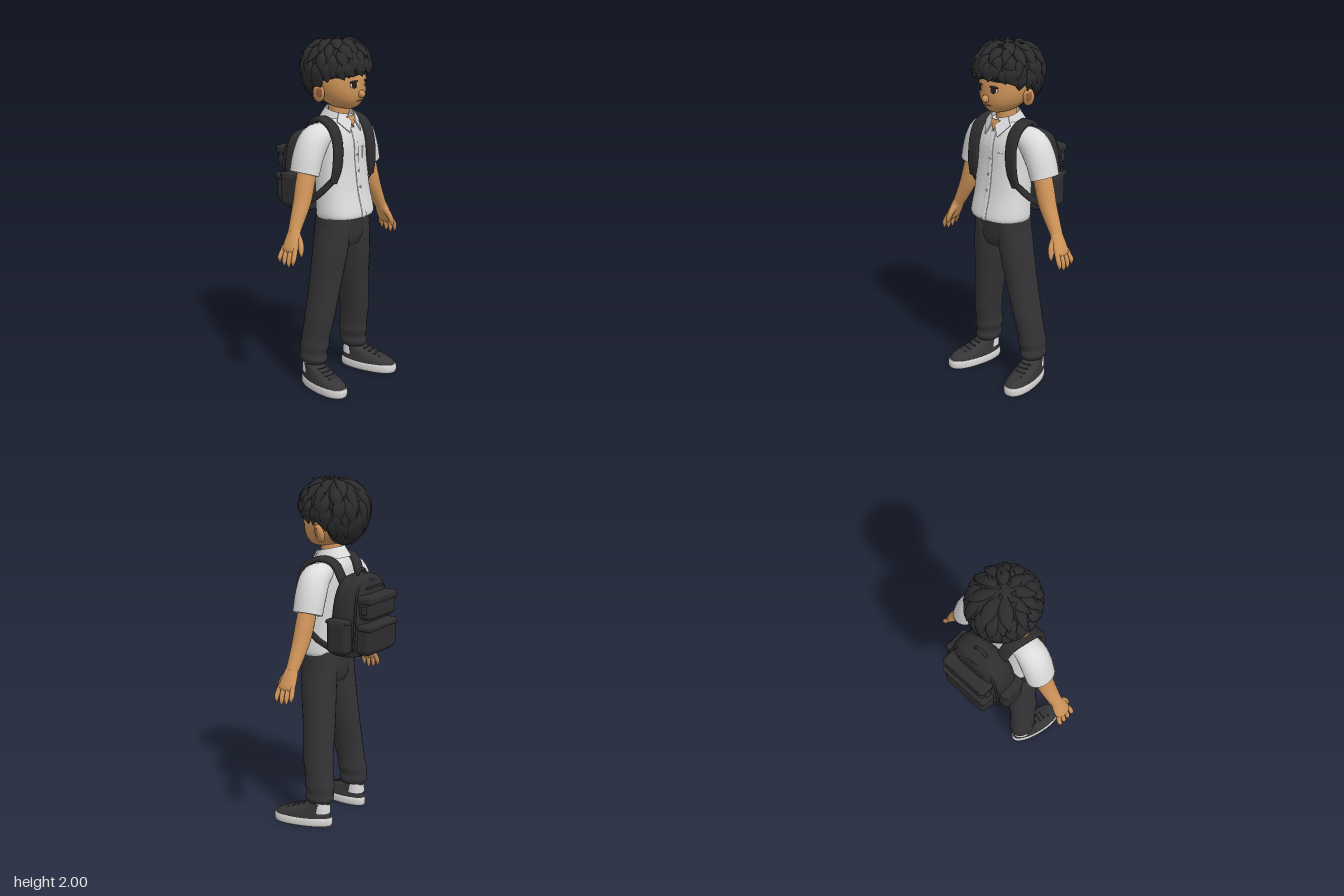
import * as THREE from 'three';
import { mergeGeometries } from 'three/addons/utils/BufferGeometryUtils.js';
import { RoundedBoxGeometry } from 'three/addons/geometries/RoundedBoxGeometry.js';

const mat = (name, color) => {
  const m = new THREE.MeshStandardMaterial({ color, side: THREE.DoubleSide });
  m.name = name;
  return m;
};
const V = (x, y, z) => new THREE.Vector3(x, y, z);

// Smooth skin through stations [x, y, z, radiusAcross, radiusDeep]; flat keeps rings level
function loft(st, { n = 20, steps = 4, pow = 2, flat = false, ref = V(1, 0, 0), egg = 0 } = {}) {
  const path = new THREE.CatmullRomCurve3(st.map(s => V(s[0], s[1], s[2])), false, 'catmullrom');
  const radii = new THREE.CatmullRomCurve3(st.map(s => V(s[3], s[4], 0)), false, 'catmullrom');
  const rows = (st.length - 1) * steps, pos = [], idx = [];
  for (let i = 0; i <= rows; i++) {
    const c = path.getPoint(i / rows), r = radii.getPoint(i / rows);
    const t = flat ? V(0, 1, 0) : path.getTangent(i / rows);
    const u = ref.clone().addScaledVector(t, -ref.dot(t)).normalize();
    const v = u.clone().cross(t);
    for (let k = 0; k < n; k++) {
      const a = k / n * Math.PI * 2, ca = Math.cos(a), sa = Math.sin(a);
      const p = c.clone()
        .addScaledVector(u, Math.sign(ca) * Math.abs(ca) ** (2 / pow) * Math.max(r.x, 0.0005) * (1 + egg * sa))
        .addScaledVector(v, Math.sign(sa) * Math.abs(sa) ** (2 / pow) * Math.max(r.y, 0.0005));
      pos.push(p.x, p.y, p.z);
      if (i < rows) {
        const p0 = i * n + k, p1 = i * n + (k + 1) % n;
        idx.push(p0, p0 + n, p1, p1, p0 + n, p1 + n);
      }
    }
  }
  // End caps with their own corners, so the rims stay sharp
  for (const [row, end] of [[0, 0], [rows, 1]]) {
    const base = pos.length / 3;
    pos.push(...pos.slice(row * n * 3, (row + 1) * n * 3));
    const c = path.getPoint(end);
    pos.push(c.x, c.y, c.z);
    for (let k = 0; k < n; k++) {
      const a = base + k, b = base + (k + 1) % n;
      idx.push(base + n, end ? b : a, end ? a : b);
    }
  }
  const g = new THREE.BufferGeometry();
  g.setAttribute('position', new THREE.Float32BufferAttribute(pos, 3));
  g.setIndex(idx);
  g.computeVertexNormals();
  return g;
}

export function createModel() {
  const root = new THREE.Group();
  root.name = 'studentWithBackpack';
  const skin = mat('skin', 0xd0955a), hair = mat('hair', 0x2b2b2d), cloth = mat('shirtCloth', 0xdcdcdd);
  const trouser = mat('trouserCloth', 0x343436), bag = mat('bagCloth', 0x2e2e30), shoe = mat('shoeCanvas', 0x363638);
  const rubber = mat('rubber', 0xd6d5d2), dark = mat('eyeDark', 0x2a1c16), lip = mat('lip', 0xa5683f);

  const add = (name, geo, m, p = [0, 0, 0], r = [0, 0, 0], parent = root) => {
    const mesh = new THREE.Mesh(geo, m);
    mesh.name = name;
    mesh.position.set(...p);
    mesh.rotation.set(...r);
    parent.add(mesh);
    return mesh;
  };
  const blob = (rx, ry, rz) => new THREE.SphereGeometry(1, 24, 16).scale(rx, ry, rz);
  const box = (w, h, d, r) => new RoundedBoxGeometry(w, h, d, 4, r);
  const flip = (st, s) => st.map(([x, ...rest]) => [x * s, ...rest]);
  const plate = (pts) => new THREE.ExtrudeGeometry(
    new THREE.Shape(pts.map(p => new THREE.Vector2(...p))), { depth: 0.008, bevelEnabled: false });

  // Head and neck
  add('head', loft([[0, 1.605, 0.105, 0.03, 0.045], [0, 1.62, 0.092, 0.07, 0.085], [0, 1.66, 0.075, 0.115, 0.126],
    [0, 1.72, 0.065, 0.14, 0.145], [0, 1.8, 0.05, 0.145, 0.155], [0, 1.88, 0.04, 0.13, 0.14],
    [0, 1.94, 0.04, 0.07, 0.08]], { n: 36, flat: true }), skin);
  add('neck', loft([[0, 1.5, 0.05, 0.06, 0.06], [0, 1.65, 0.055, 0.055, 0.06]], { flat: true }), skin);
  add('nose', blob(0.019, 0.022, 0.024), skin, [0, 1.69, 0.211]);
  add('mouth', blob(0.028, 0.004, 0.005), lip, [0, 1.653, 0.199]);

  // Shirt body
  const shirt = [[0, 1.0, 0.1, 0.176, 0.134], [0, 1.03, 0.1, 0.184, 0.135], [0, 1.15, 0.083, 0.177, 0.122],
    [0, 1.3, 0.068, 0.175, 0.116], [0, 1.42, 0.06, 0.175, 0.115], [0, 1.5, 0.05, 0.155, 0.1], [0, 1.56, 0.055, 0.075, 0.075]];
  add('shirtBody', loft(shirt, { n: 36, flat: true, pow: 2.3 }), cloth);
  add('placket', loft(shirt.slice(0, 6).map(s => [0, s[1], s[2] + s[4], 0.018, 0.005]), { n: 8, flat: true, pow: 4 }), cloth);
  for (let i = 0; i < 5; i++) {
    const y = 1.08 + i * 0.09, z = 0.223 - Math.min(i, 3) * 0.0125 - (i === 4 ? 0.05 : 0);
    add('button', blob(0.006, 0.006, 0.005), cloth, [0, y, z]);
  }
  add('chestPocket', box(0.08, 0.09, 0.008, 0.003), cloth, [0.092, 1.345, 0.162], [0, 0.38, 0]);
  const band = add('collarBand', new THREE.CylinderGeometry(0.076, 0.1, 0.065, 28, 1, true, 0.3, Math.PI * 2 - 0.6),
    cloth, [0, 1.562, 0.052], [0.22, 0, 0]);
  band.scale.z = 1.08;
  add('openNeck', plate([[-0.035, 0.065], [0, 0], [0.035, 0.065]]), skin, [0, 1.5, 0.154], [-0.35, 0, 0]);

  // Hips
  add('hips', loft([[0, 0.83, 0.077, 0.1, 0.09], [0, 0.88, 0.078, 0.165, 0.105], [0, 0.96, 0.08, 0.174, 0.11],
    [0, 1.03, 0.085, 0.17, 0.11]], { n: 32, flat: true, pow: 2.3 }), trouser);

  for (const s of [1, -1]) {
    const side = s > 0 ? 'left' : 'right';
    // Facial features
    add(side + 'Eye', blob(0.023, 0.018, 0.005), rubber, [s * 0.052, 1.742, 0.199], [0, s * 0.39, 0]);
    add(side + 'Iris', blob(0.017, 0.018, 0.005), dark, [s * 0.051, 1.743, 0.202], [0, s * 0.39, 0]);
    add(side + 'Lash', blob(0.027, 0.006, 0.007), hair, [s * 0.053, 1.76, 0.2], [0, s * 0.39, s * -0.12]);
    add(side + 'Brow', blob(0.03, 0.006, 0.006), hair, [s * 0.055, 1.795, 0.197], [0, s * 0.39, s * -0.1]);
    add(side + 'Ear', blob(0.02, 0.052, 0.034), skin, [s * 0.152, 1.695, 0.035], [0.15, s * -0.35, s * -0.2]);
    add(side + 'InnerEar', blob(0.005, 0.03, 0.017), lip, [s * 0.167, 1.699, 0.046], [0.15, s * -0.35, s * -0.2]);

    // Collar flap and sleeve
    add(side + 'CollarFlap', plate([[s * 0.012, 0.015], [s * 0.05, -0.045], [s * 0.1, 0.035], [s * 0.07, 0.08]]),
      cloth, [0, 1.525, 0.165], [-0.5, s * 0.42, 0]);
    add(side + 'Sleeve', loft(flip([[0.1, 1.475, 0.045, 0.055, 0.075], [0.19, 1.445, 0.04, 0.082, 0.085],
      [0.242, 1.365, 0.035, 0.08, 0.09], [0.276, 1.265, 0.034, 0.072, 0.088]], s), { n: 24 }), cloth);

    // Arm and hand
    add(side + 'Arm', loft(flip([[0.24, 1.36, 0.04, 0.05, 0.05], [0.282, 1.22, 0.045, 0.054, 0.053],
      [0.315, 1.12, 0.05, 0.049, 0.05], [0.36, 1.03, 0.055, 0.039, 0.042], [0.395, 0.965, 0.06, 0.031, 0.036]], s)), skin);
    add(side + 'Palm', loft(flip([[0.385, 0.985, 0.06, 0.03, 0.034], [0.412, 0.93, 0.064, 0.028, 0.047],
      [0.437, 0.88, 0.066, 0.024, 0.051], [0.445, 0.86, 0.066, 0.014, 0.042]], s)), skin);
    for (let f = 0; f < 4; f++) {
      const z = 0.027 + f * 0.026, drop = [0.02, 0.005, 0, 0.012][f], tz = z + (f - 1.5) * 0.006;
      add(side + 'Finger', loft(flip([[0.435, 0.89, z, 0.014, 0.014], [0.458, 0.845, tz, 0.014, 0.014],
        [0.466, 0.81 + drop, tz, 0.012, 0.012], [0.466, 0.788 + drop, tz, 0.004, 0.004]], s), { n: 10 }), skin);
    }
    add(side + 'Thumb', loft(flip([[0.395, 0.95, 0.085, 0.018, 0.02], [0.405, 0.91, 0.115, 0.017, 0.018],
      [0.415, 0.87, 0.128, 0.014, 0.014], [0.418, 0.845, 0.131, 0.005, 0.005]], s), { n: 10 }), skin);

    // Trouser leg with bunched cuff
    add(side + 'TrouserLeg', loft(flip([[0.185, 0.14, 0.02, 0.058, 0.074], [0.186, 0.165, 0.02, 0.07, 0.088],
      [0.184, 0.2, 0.018, 0.066, 0.084], [0.18, 0.24, 0.022, 0.073, 0.091], [0.176, 0.29, 0.027, 0.069, 0.088],
      [0.163, 0.4, 0.043, 0.071, 0.094], [0.13, 0.6, 0.058, 0.08, 0.1], [0.104, 0.8, 0.075, 0.088, 0.108],
      [0.092, 0.92, 0.079, 0.084, 0.11], [0.09, 1.02, 0.082, 0.08, 0.1]], s), { n: 24, flat: true }), trouser);

    // Sock and shoe, toes turned out
    const foot = new THREE.Group();
    foot.name = side + 'Foot';
    foot.position.set(s * 0.19, 0, 0);
    foot.rotation.y = s * 0.19;
    root.add(foot);
    const o = { n: 32, flat: true, egg: 0.14, pow: 2.2 };
    add(side + 'Sock', loft([[0, 0.08, 0.01, 0.052, 0.06], [0, 0.17, 0.01, 0.05, 0.056]], { flat: true }), cloth, [0, 0, 0], [0, 0, 0], foot);
    add(side + 'Sole', loft([[0, 0, 0.118, 0.068, 0.174], [0, 0.012, 0.118, 0.073, 0.18], [0, 0.035, 0.118, 0.073, 0.18],
      [0, 0.05, 0.118, 0.069, 0.174]], o), rubber, [0, 0, 0], [0, 0, 0], foot);
    add(side + 'ShoeUpper', loft([[0, 0.04, 0.118, 0.07, 0.174], [0, 0.065, 0.112, 0.068, 0.163], [0, 0.085, 0.09, 0.063, 0.138],
      [0, 0.105, 0.058, 0.058, 0.104], [0, 0.13, 0.022, 0.053, 0.07], [0, 0.14, 0.014, 0.051, 0.062]], o), shoe, [0, 0, 0], [0, 0, 0], foot);
    for (let i = 0; i < 4; i++)
      add(side + 'Lace', box(0.06, 0.008, 0.012, 0.003), bag, [0, 0.125 - i * 0.012, 0.105 + i * 0.032], [0.42, 0, 0], foot);

    // Backpack strap, lower webbing and side pocket
    add(side + 'Strap', loft(flip([[0.09, 1.42, -0.085, 0.036, 0.014], [0.108, 1.525, -0.035, 0.037, 0.015],
      [0.13, 1.55, 0.045, 0.038, 0.016], [0.14, 1.51, 0.125, 0.038, 0.015], [0.143, 1.42, 0.162, 0.036, 0.015],
      [0.152, 1.3, 0.166, 0.034, 0.015], [0.167, 1.21, 0.15, 0.026, 0.012]], s), { n: 14, pow: 3.5, steps: 5 }), bag);
    add(side + 'Webbing', loft(flip([[0.165, 1.23, 0.153, 0.014, 0.016], [0.188, 1.17, 0.1, 0.01, 0.018],
      [0.195, 1.11, 0.03, 0.008, 0.018], [0.18, 1.06, -0.06, 0.008, 0.018]], s), { n: 10, pow: 3 }), bag);
    add(side + 'SidePocket', box(0.085, 0.2, 0.14, 0.034), bag, [s * 0.192, 1.142, -0.12]);
    add(side + 'PocketRim', box(0.078, 0.022, 0.146, 0.009), bag, [s * 0.19, 1.225, -0.12]);
    add(side + 'Buckle', box(0.022, 0.045, 0.03, 0.007), bag, [s * 0.148, 1.29, -0.25]);
  }

  // Backpack
  add('backpackBody', loft([[0, 1.02, -0.12, 0.15, 0.075], [0, 1.04, -0.125, 0.183, 0.1], [0, 1.2, -0.13, 0.192, 0.105],
    [0, 1.32, -0.134, 0.18, 0.1], [0, 1.4, -0.138, 0.157, 0.088], [0, 1.445, -0.137, 0.12, 0.07],
    [0, 1.465, -0.135, 0.07, 0.04]], { n: 40, flat: true, pow: 3.2 }), bag);
  add('upperPocket', box(0.29, 0.135, 0.1, 0.032), bag, [0, 1.3, -0.24]);
  add('upperPocketFlap', box(0.3, 0.05, 0.1, 0.02), bag, [0, 1.345, -0.245]);
  add('lowerPocket', box(0.31, 0.17, 0.11, 0.036), bag, [0, 1.12, -0.238]);
  add('lowerPocketFlap', box(0.318, 0.04, 0.105, 0.018), bag, [0, 1.19, -0.243]);
  add('zipPiping', new THREE.TubeGeometry(new THREE.CatmullRomCurve3([V(-0.178, 1.06, -0.2), V(-0.18, 1.2, -0.21),
    V(-0.162, 1.33, -0.207), V(-0.115, 1.42, -0.2), V(0, 1.437, -0.208), V(0.115, 1.42, -0.2),
    V(0.162, 1.33, -0.207), V(0.18, 1.2, -0.21), V(0.178, 1.06, -0.2)]), 48, 0.007, 6), bag);
  add('topSeam', box(0.17, 0.012, 0.014, 0.005), bag, [0, 1.4, -0.224]);
  add('carryHandle', new THREE.TorusGeometry(0.042, 0.009, 8, 20, Math.PI), bag, [0, 1.452, -0.145]);

  // Hair base
  add('hairCap', blob(0.175, 0.142, 0.188), hair, [0, 1.84, 0.03]);
  add('hairBack', blob(0.148, 0.155, 0.115), hair, [0, 1.772, -0.035]);

  // Tapered locks flowing out from the crown
  let seed = 7;
  const rnd = () => (seed = (seed * 16807) % 2147483647) / 2147483647;
  const scalp = (a, p, lift) => {
    const back = (1 - Math.cos(a)) / 2, low = p > Math.PI / 2 ? 1 + 0.5 * back : 1;
    return [Math.sin(p) * Math.sin(a) * 0.176 * lift, 1.833 + Math.cos(p) * 0.148 * low * lift,
      0.032 + Math.sin(p) * Math.cos(a) * 0.188 * lift];
  };
  const locks = [];
  const rowsOfLocks = [[0.1, 0.5, 8], [0.3, 0.68, 13], [0.5, 0.85, 17], [0.66, 1, 22], [0.74, 1.04, 22]];
  rowsOfLocks.forEach(([from, to, count], row) => {
    for (let i = 0; i < count; i++) {
      const a = (i + (row % 2) / 2 + (rnd() - 0.5) * 0.5) / count * Math.PI * 2;
      const limit = 1.72 + 0.37 * (1 - Math.cos(a)) + (rnd() - 0.5) * 0.16;
      const swirl = (rnd() - 0.3) * 0.32, tip = 1.06 + rnd() * 0.1, w = 0.026 + rnd() * 0.014;
      const at = (f, lift) => scalp(a + swirl * f * f, (from + (to - from) * f) * limit, lift);
      locks.push(loft([[...at(0, 0.97), w * 0.5, 0.008], [...at(0.35, 1.03), w, 0.017], [...at(0.7, 1.05), w * 0.8, 0.014],
        [...at(1, tip), 0.001, 0.001]], { n: 8, steps: 3, ref: V(Math.cos(a), 0, -Math.sin(a)) }));
    }
  });
  // Short upright tufts on the crown
  for (let i = 0; i < 9; i++) {
    const a = i * 2.4, r = 0.025 + 0.008 * i, x = Math.sin(a) * r, z = 0.04 + Math.cos(a) * r;
    locks.push(loft([[x, 1.95, z, 0.018, 0.012], [x * 1.2, 1.975, z + 0.008, 0.014, 0.009],
      [x * 1.5 + 0.015, 1.998 - i * 0.002, z + 0.022, 0.001, 0.001]], { n: 7, steps: 3 }));
  }
  add('hairLocks', mergeGeometries(locks), hair);
  return root;
}
